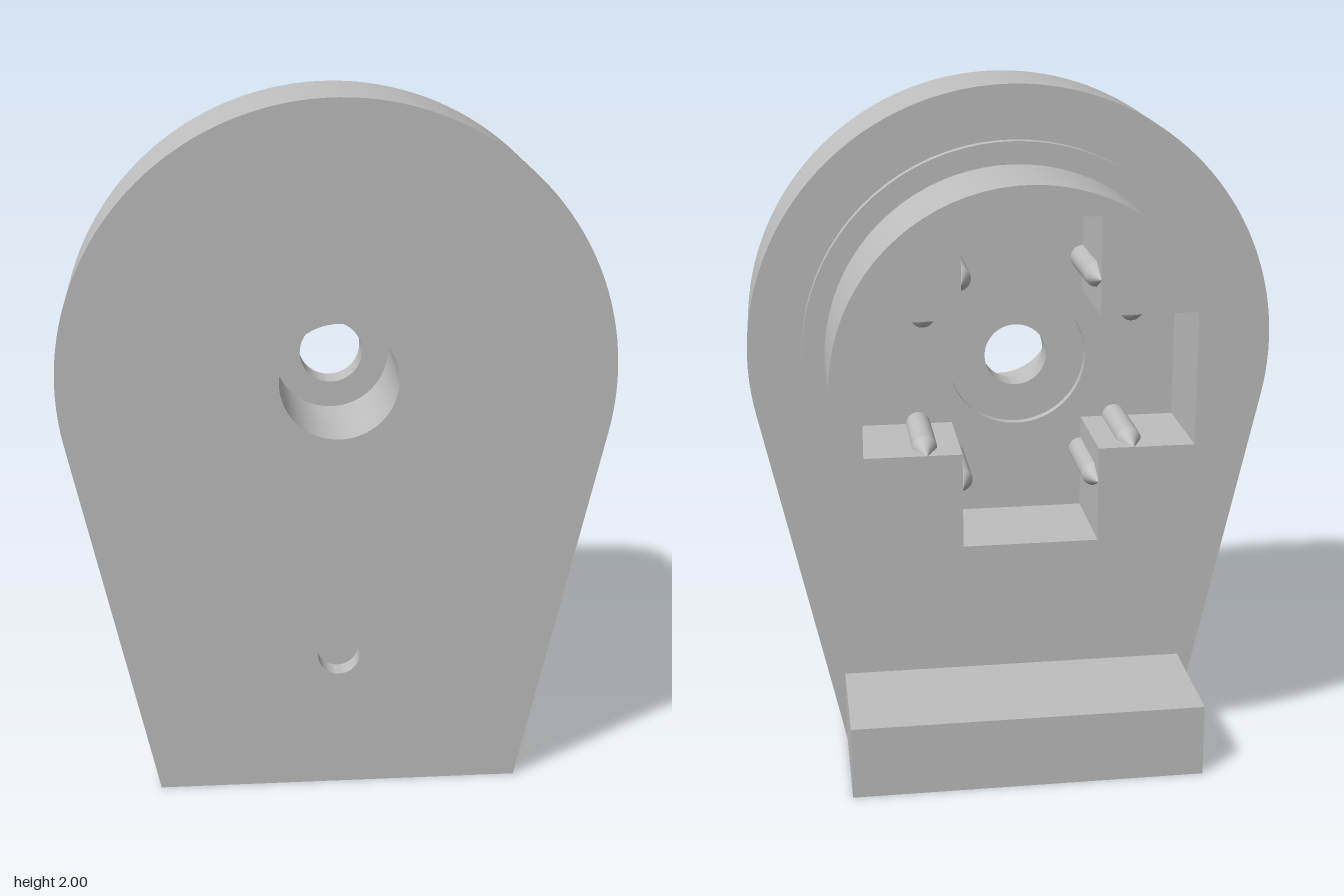
import * as THREE from 'three';
import { toCreasedNormals } from 'three/addons/utils/BufferGeometryUtils.js';

const CY = 1.23;          // height of the main axis
const BACK = -0.348, FRONT = 0.348;

export function createModel() {
  const model = new THREE.Group();
  model.name = 'mountingBracket';
  const grey = new THREE.MeshStandardMaterial({ color: 0xbebebe });
  grey.name = 'plain grey';

  const add = (geometry, name, parent = model) => {
    const mesh = new THREE.Mesh(geometry, grey);
    mesh.name = name;
    parent.add(mesh);
    return mesh;
  };

  const circle = (r, y = CY, Type = THREE.Path) => {
    const c = new Type();
    c.absarc(0, y, r, 0, Math.PI * 2, false);
    return c;
  };

  // Extrudes an outline with holes from z0 to z1
  const slab = (name, shape, holes, z0, z1) => {
    shape.holes.push(...holes);
    const g = new THREE.ExtrudeGeometry(shape, { depth: z1 - z0, bevelEnabled: false, curveSegments: 40 });
    g.translate(0, 0, z0);
    return add(toCreasedNormals(g, 0.5), name);
  };

  // Teardrop plate: round head with tangent sides running down to the base
  const plateOutline = () => {
    const r = 0.77, w = 0.52;
    const a = Math.acos(r / Math.hypot(w, CY)) - Math.atan2(CY, w);
    const s = new THREE.Shape();
    s.moveTo(-w, 0);
    s.lineTo(w, 0);
    s.lineTo(r * Math.cos(a), CY + r * Math.sin(a));
    s.absarc(0, CY, r, a, Math.PI - a, false);
    s.closePath();
    return s;
  };
  slab('plateFront', plateOutline(), [circle(0.165), circle(0.06, 0.41)], 0.29, FRONT);
  slab('plateMiddle', plateOutline(), [circle(0.165)], 0.05, 0.29);
  slab('plateBack', plateOutline(), [circle(0.09)], 0.016, 0.05);

  // Shoulder and round socket housing
  const disc = (r) => circle(r, CY, THREE.Shape);
  slab('shoulderRing', disc(0.615), [circle(0.09)], -0.016, 0.016);
  slab('socketBase', disc(0.55), [circle(0.09)], -0.03, -0.016);
  slab('socketRecess', disc(0.55), [circle(0.2)], -0.055, -0.03);

  // Cross-shaped pocket, one corner triple per quadrant
  const n = 0.19, l = 0.462;
  const cross = new THREE.Path();
  const points = [];
  for (let i = 0; i < 4; i++) {
    for (const [x, y] of [[l, -n], [l, n], [n, n]]) {
      const p = new THREE.Vector2(x, y).rotateAround(new THREE.Vector2(), i * Math.PI / 2);
      points.push(p.add(new THREE.Vector2(0, CY)));
    }
  }
  cross.setFromPoints(points);
  cross.closePath();
  slab('socketWall', disc(0.55), [cross], BACK, -0.055);

  // Pointed ribs half sunk into the pocket walls
  const len = -0.055 - BACK, pr = 0.035;
  const rib = new THREE.LatheGeometry([
    new THREE.Vector2(pr, 0), new THREE.Vector2(pr, len - 0.07),
    new THREE.Vector2(pr, len - 0.07), new THREE.Vector2(0.002, len),
  ], 20);
  rib.rotateX(-Math.PI / 2);
  const ribs = new THREE.Group();
  ribs.name = 'gripRibs';
  model.add(ribs);
  for (const sx of [-1, 1]) for (const sy of [-1, 1]) {
    for (const [x, y] of [[n, 0.288], [0.288, n]]) {
      add(rib, 'gripRib', ribs).position.set(sx * x, CY + sy * y, -0.055);
    }
  }

  // Foot block behind the plate
  const foot = add(new THREE.BoxGeometry(1.04, 0.22, 0.016 - BACK), 'foot');
  foot.position.set(0, 0.11, (0.016 + BACK) / 2);

  return model;
}
